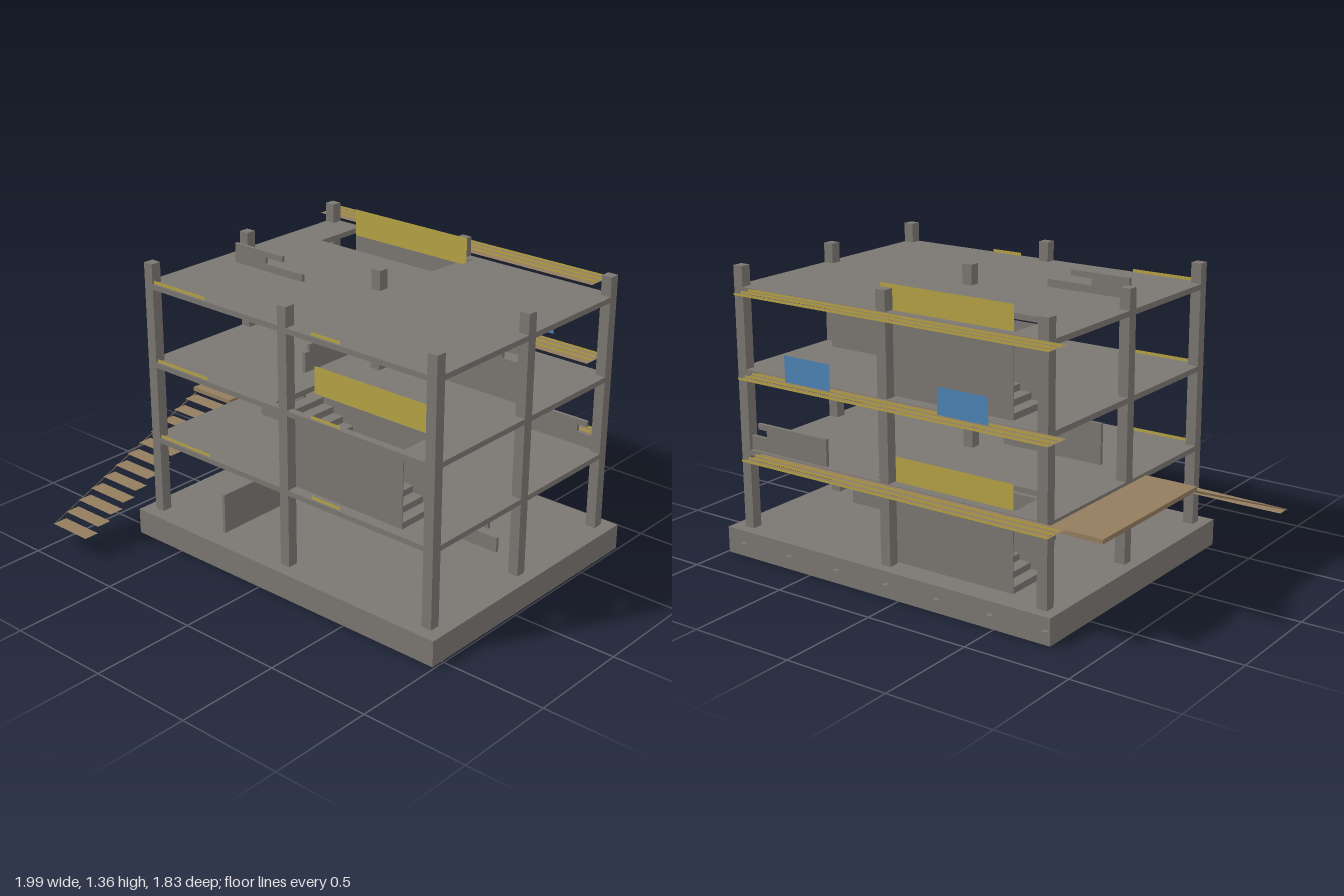
import * as THREE from 'three';

export function createModel() {
  const model = new THREE.Group();
  model.name = 'concreteBuildingFrame';

  const mat = (name, color, side = THREE.FrontSide) => {
    const m = new THREE.MeshStandardMaterial({ color, side });
    m.name = name;
    return m;
  };
  const concrete = mat('concrete', 0x7b7772);
  const yellow = mat('safetyYellow', 0xb5a244, THREE.DoubleSide);
  const timber = mat('timber', 0x937d5f, THREE.DoubleSide);
  const blue = mat('blueSheet', 0x4d83b5, THREE.DoubleSide);

  const add = (name, geometry, material) => {
    const mesh = new THREE.Mesh(geometry, material);
    mesh.name = name;
    model.add(mesh);
    return mesh;
  };
  // Box given by its extents on each axis
  const box = (name, x0, x1, y0, y1, z0, z1, material = concrete) =>
    add(name, new THREE.BoxGeometry(x1 - x0, y1 - y0, z1 - z0), material)
      .position.set((x0 + x1) / 2, (y0 + y1) / 2, (z0 + z1) / 2);
  // Thin upright sheet facing z
  const sheet = (name, x0, x1, y0, y1, z, material) =>
    add(name, new THREE.PlaneGeometry(x1 - x0, y1 - y0), material)
      .position.set((x0 + x1) / 2, (y0 + y1) / 2, z);
  // Thin level sheet
  const deck = (name, x0, x1, z0, z1, y, material) => {
    const m = add(name, new THREE.PlaneGeometry(x1 - x0, z1 - z0).rotateX(-Math.PI / 2), material);
    m.position.set((x0 + x1) / 2, y, (z0 + z1) / 2);
  };
  const shapeOf = pts => new THREE.Shape(pts.map(p => new THREE.Vector2(p[0], p[1])));

  // Foundation and nine columns
  box('foundation', -0.78, 0.99, 0.01, 0.133, -0.8, 0.56);
  for (const x of [-0.705, 0.105, 0.905])
    for (const z of [-0.725, -0.125, 0.475])
      box('column', x - 0.025, x + 0.025, 0.133, 1.352, z - 0.025, z + 0.025);

  // Floors, each open above its flight of stairs
  const flights = [
    { x0: -0.52, x1: 0.155, z0: -0.685, z1: -0.475, base: 0.133, slab: 0.485, dir: 1 },
    { x0: 0.05, x1: 0.725, z0: 0.24, z1: 0.445, base: 0.51, slab: 0.86, dir: -1 },
    { x0: -0.52, x1: 0.155, z0: -0.685, z1: -0.475, base: 0.885, slab: 1.235, dir: 1 },
  ];
  const steps = 12;
  for (const f of flights) {
    const floor = shapeOf([[-0.73, -0.5], [0.93, -0.5], [0.93, 0.75], [-0.73, 0.75]]);
    const g = 0.02;
    floor.holes.push(new THREE.Path([
      [f.x0 - g, -f.z1 - g], [f.x0 - g, -f.z0 + g], [f.x1 + g, -f.z0 + g], [f.x1 + g, -f.z1 - g],
    ].map(p => new THREE.Vector2(p[0], p[1]))));
    add('floorSlab', new THREE.ExtrudeGeometry(floor, { depth: 0.025, bevelEnabled: false })
      .rotateX(-Math.PI / 2), concrete).position.y = f.slab;

    // Stair steps between two side walls
    const run = (f.x1 - f.x0) / steps, rise = (f.slab - f.base) / steps;
    for (let i = 0; i < steps; i++) {
      const x = f.dir > 0 ? f.x0 + i * run : f.x1 - (i + 1) * run;
      box('stairStep', x, x + run, f.base + i * rise, f.base + (i + 1) * rise, f.z0 + 0.003, f.z1 - 0.003);
    }
    for (const z of [f.z0, f.z1])
      box('stairWall', f.x0, f.x1, f.base, f.slab, z - 0.002, z + 0.002);
    sheet('stairGuard', f.x0, f.x1, f.slab, f.slab + 0.13, f.z0, yellow);
  }

  // Unfinished partition walls with stepped ends; axis tells which way they run
  const partition = (axis, at, pts) => {
    const t = 0.016;
    const geo = new THREE.ExtrudeGeometry(shapeOf(pts), { depth: t, bevelEnabled: false });
    geo.translate(0, 0, -t / 2);
    if (axis === 'z') geo.rotateY(-Math.PI / 2);
    const m = add('partitionWall', geo, concrete);
    m.position[axis === 'z' ? 'x' : 'z'] = at;
  };
  partition('x', -0.22, [[0.21, 0.133], [0.73, 0.133], [0.73, 0.205], [0.48, 0.205],
    [0.48, 0.235], [0.68, 0.235], [0.68, 0.265], [0.21, 0.265]]);
  partition('z', -0.315, [[0.09, 0.133], [0.46, 0.133], [0.46, 0.325], [0.24, 0.325],
    [0.24, 0.36], [0.32, 0.36], [0.32, 0.388], [0.09, 0.388]]);
  partition('z', -0.315, [[-0.38, 0.133], [-0.07, 0.133], [-0.07, 0.295], [-0.14, 0.295],
    [-0.14, 0.355], [-0.38, 0.355]]);
  partition('x', -0.013, [[-0.52, 0.51], [0, 0.51], [0, 0.637], [-0.25, 0.637],
    [-0.25, 0.67], [-0.245, 0.67], [-0.245, 0.7], [-0.52, 0.7]]);
  partition('x', -0.725, [[0.44, 0.51], [0.88, 0.51], [0.88, 0.575], [0.79, 0.575],
    [0.79, 0.61], [0.84, 0.61], [0.84, 0.637], [0.44, 0.637]]);
  partition('x', -0.22, [[0.32, 0.885], [0.83, 0.885], [0.83, 1.07], [0.72, 1.07],
    [0.72, 1.105], [0.8, 1.105], [0.8, 1.14], [0.32, 1.14]]);
  partition('z', -0.105, [[-0.33, 0.885], [0.14, 0.885], [0.14, 0.98], [0.11, 0.98],
    [0.11, 1.012], [-0.03, 1.012], [-0.03, 1.042], [-0.33, 1.042]]);
  partition('x', 0.032, [[-0.62, 1.26], [-0.205, 1.26], [-0.205, 1.295], [-0.43, 1.295],
    [-0.43, 1.325], [-0.325, 1.325], [-0.325, 1.352], [-0.62, 1.352]]);

  // Scaffold planks along the back, with yellow edge strips on every level
  for (const y of [0.515, 0.89, 1.265]) {
    for (let i = 0; i < 3; i++) {
      const z = -0.9 + i * 0.044;
      deck('scaffoldPlank', -0.83, 0.787, z, z + 0.042, y, timber);
      sheet('plankEdge', -0.83, 0.787, y, y + 0.01, z, yellow);
    }
    sheet('slabEdgeStrip', -0.68, -0.36, y - 0.005, y + 0.01, 0.49, yellow);
    sheet('slabEdgeStrip', 0.26, 0.42, y - 0.005, y + 0.01, 0.49, yellow);
  }
  // Scaffold base plates
  for (let i = 0; i < 7; i++) {
    const x = -0.83 + i * 0.27;
    deck('basePlate', x - 0.011, x + 0.011, -0.92, -0.898, 0.133, concrete);
  }
  // Blue sheets hung on the scaffold
  for (const x of [-0.55, 0.26]) sheet('blueSheet', x, x + 0.25, 0.925, 1.042, -0.9, blue);

  // Side walkway and the open stairs leading down to the front
  box('walkway', -1, -0.75, 0.49, 0.51, -0.765, -0.02, timber);
  for (let i = 0; i < 12; i++) {
    const z = -0.02 + i * 0.0778;
    deck('outsideTread', -0.985, -0.76, z, z + 0.074, 0.475 - i * 0.0322, timber);
  }
  // Thin sloping rail strip under the treads
  const rail = add('stairRail', new THREE.ShapeGeometry(
    shapeOf([[-0.02, 0.48], [0.91, 0.115], [0.91, 0.12], [-0.02, 0.49]])).rotateY(-Math.PI / 2), timber);
  rail.position.x = -0.985;

  return model;
}
